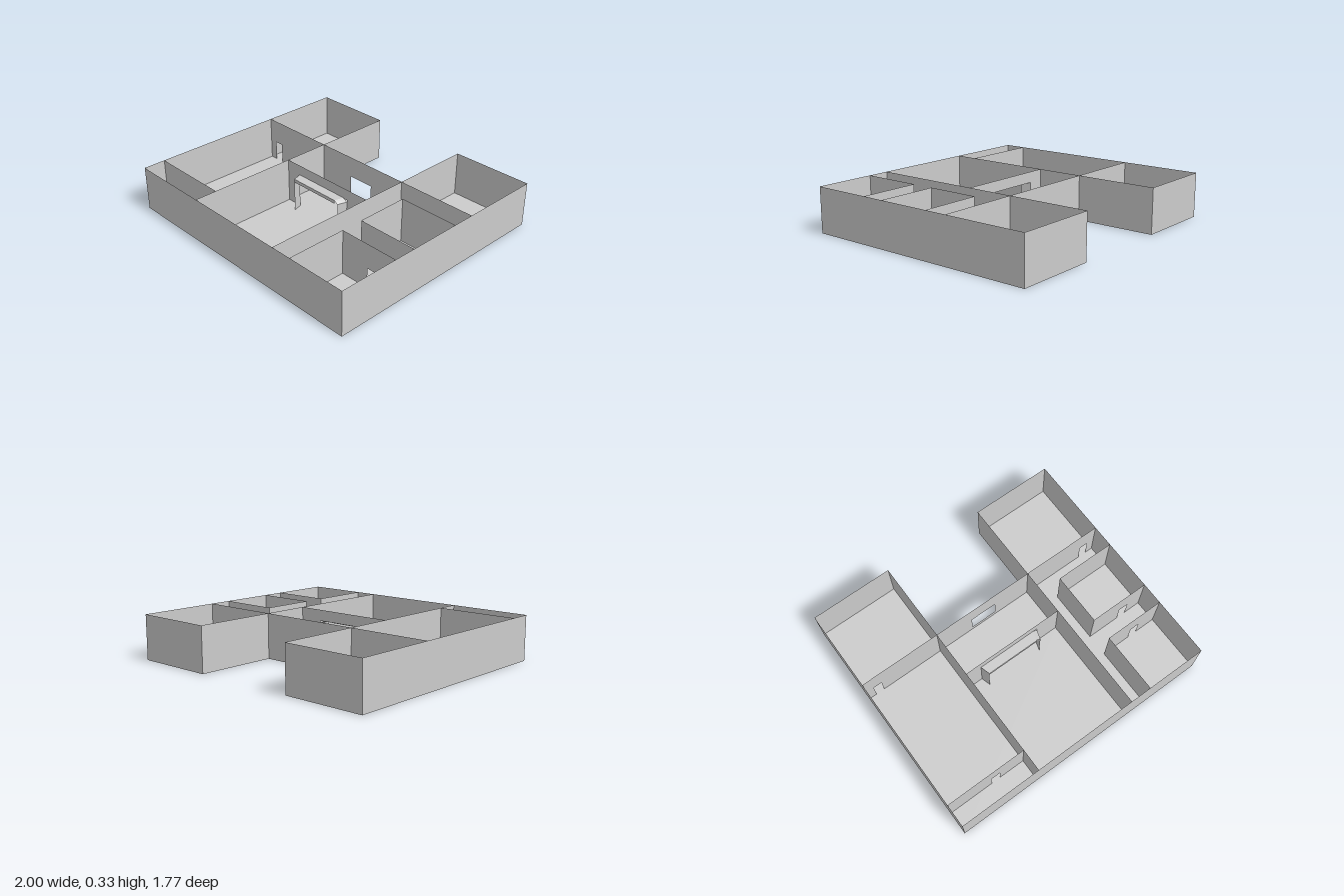
import * as THREE from 'three';

const H = 0.33, X = 1, Z = 0.885, IN = 0.39, BACK = -0.28;
const DOOR = 0.15;

export function createModel() {
  const model = new THREE.Group();
  const mat = new THREE.MeshStandardMaterial({ color: 0xcccccc, side: THREE.DoubleSide, flatShading: true });

  const add = (name, geometry) => {
    const mesh = new THREE.Mesh(geometry, mat);
    mesh.name = name;
    model.add(mesh);
    return mesh;
  };

  // Thin wall between two plan points; doors are [start, end, height] and
  // windows [start, end, bottom, top], measured along the wall.
  const wall = (name, x1, z1, x2, z2, doors = [], windows = []) => {
    const len = Math.hypot(x2 - x1, z2 - z1);
    const s = new THREE.Shape().moveTo(0, 0);
    for (const [a, b, h] of doors) s.lineTo(a, 0).lineTo(a, h).lineTo(b, h).lineTo(b, 0);
    s.lineTo(len, 0).lineTo(len, H).lineTo(0, H).closePath();
    for (const [a, b, lo, hi] of windows) {
      s.holes.push(new THREE.Path().moveTo(a, lo).lineTo(a, hi).lineTo(b, hi).lineTo(b, lo).closePath());
    }
    const m = add(name, new THREE.ShapeGeometry(s));
    m.position.set(x1, 0, z1);
    m.rotation.y = -Math.atan2(z2 - z1, x2 - x1);
  };

  // Four-cornered panel
  const panel = (name, a, b, c, d) => {
    const g = new THREE.BufferGeometry();
    g.setAttribute('position', new THREE.Float32BufferAttribute([a, b, c, a, c, d].flat(), 3));
    g.computeVertexNormals();
    add(name, g);
  };

  // Floors: main block and two back wings
  const floor = (name, x1, x2, z1, z2) =>
    panel(name, [x1, 0, z2], [x2, 0, z2], [x2, 0, z1], [x1, 0, z1]);
  floor('mainFloor', -X, X, BACK, Z);
  floor('rightWingFloor', -X, -IN, -Z, BACK);
  floor('leftWingFloor', IN, X, -Z, BACK);

  // Outer walls and the mirrored wing and long partition walls
  wall('frontWall', -X, Z, X, Z);
  for (const s of [-1, 1]) {
    const side = s < 0 ? 'right' : 'left';
    wall(side + 'OuterWall', s * X, -Z, s * X, Z);
    wall(side + 'WingBackWall', s * IN, -Z, s * X, -Z);
    wall(side + 'WingInnerWall', s * IN, -Z, s * IN, BACK);
    wall(side + 'WingPartition', s * IN, BACK, s * X, BACK, [[0.485, 0.55, DOOR]]);
    wall(side + 'LongPartition', s * IN, BACK, s * IN, Z);
  }
  wall('backWall', -IN, BACK, IN, BACK, [], [[0.29, 0.49, 0.04, 0.175]]);

  // Small rooms on the left side and closet on the right side
  wall('closetPartition', -X, 0.72, -IN, 0.72, [[0.345, 0.415, DOOR]]);
  wall('rearRoomSideWall', 0.55, -0.115, 0.55, 0.275);
  wall('rearRoomBackWall', 0.55, -0.115, X, -0.115);
  wall('rearRoomFrontWall', 0.55, 0.275, X, 0.275, [[0.25, 0.32, DOOR]]);
  wall('frontRoomSideWall', 0.55, 0.44, 0.55, Z);
  wall('frontRoomBackWall', 0.55, 0.44, X, 0.44, [[0.22, 0.29, DOOR]]);

  // Cross wall with a wide opening, lined by a splayed surround
  const zb = 0.07, zf = 0.14, top = 0.255, low = 0.235;
  wall('crossWall', -IN, zb, IN, zb, [[0.12, 0.6, 0.25]]);
  panel('surroundTop', [-0.25, top, zf], [0.16, top, zf], [0.175, top, zb], [-0.27, top, zb]);
  panel('surroundChamfer', [0.16, top, zf], [0.19, low, zf], [0.21, low, zb], [0.175, top, zb]);
  panel('surroundLeftSide', [0.19, 0, zf], [0.21, 0, zb], [0.21, low, zb], [0.19, low, zf]);
  panel('surroundRightSide', [-0.27, 0, zb], [-0.25, 0, zf], [-0.25, top, zf], [-0.27, top, zb]);
  panel('surroundLip', [-0.25, 0.23, zf], [0.16, 0.23, zf], [0.16, top, zf], [-0.25, top, zf]);

  return model;
}
